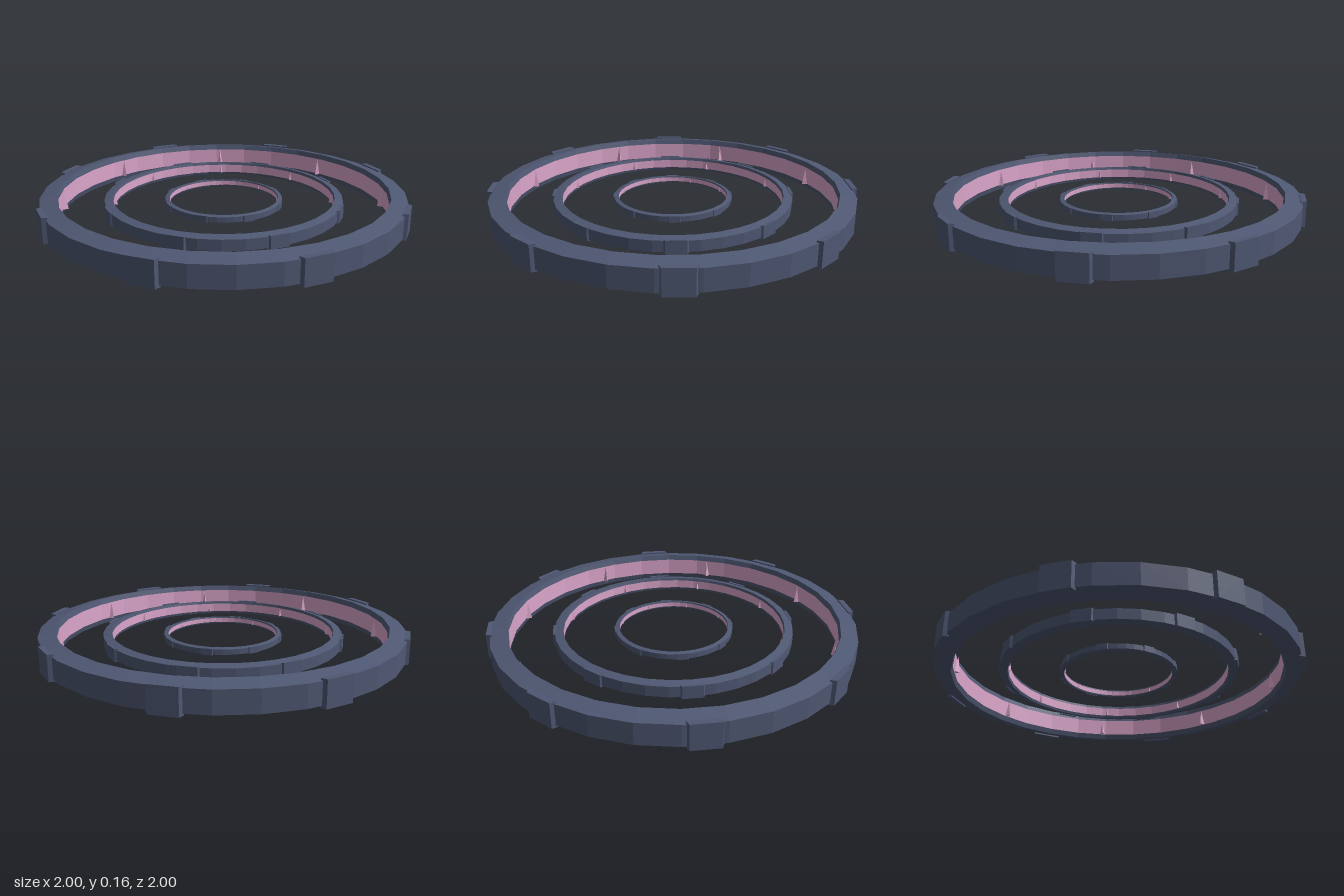
import * as THREE from 'three';

const slate = new THREE.MeshStandardMaterial({ color: 0x4f5873, flatShading: true });
slate.name = 'slate';
const pink = new THREE.MeshStandardMaterial({ color: 0xdca6cb, flatShading: true });
pink.name = 'pink';

const MID = 0.0775; // height of the shared centre plane

function add(parent, name, geometry, material) {
  const mesh = new THREE.Mesh(geometry, material);
  mesh.name = name;
  parent.add(mesh);
  return mesh;
}

// Revolves [radius, height] points into a faceted band
function lathe(points, sides) {
  return new THREE.LatheGeometry(points.map(([r, y]) => new THREE.Vector2(r, y)), sides);
}

// Tab whose outer face is a little narrower than its root
function tabGeometry(width, height, depth) {
  const g = new THREE.BoxGeometry(width, height, depth);
  const p = g.attributes.position;
  for (let i = 0; i < p.count; i++) {
    if (p.getZ(i) > 0) p.setX(i, p.getX(i) * 0.86);
  }
  g.computeVertexNormals();
  return g;
}

// s scales the cross-section, outer is the outer radius
function ring(name, outer, s, sides, tabWidth) {
  const group = new THREE.Group();
  group.name = name;
  group.position.y = MID;
  const inner = outer - 0.097 * s;
  const peak = outer - 0.089 * s;
  const h = 0.0775 * s, edge = 0.0575 * s, band = 0.048 * s;

  // Shell: lower lip, sloped underside, outer wall, sloped top, upper lip
  add(group, 'shell', lathe([
    [inner, -band], [peak, -h], [outer, -edge], [outer, edge], [peak, h], [inner, band],
  ], sides), slate);
  // Coloured inner wall
  add(group, 'innerBand', lathe([[inner, band], [inner, -band]], sides), pink);

  // Eight tabs outside, eight spikes inside halfway between them
  const depth = 0.03 * s;
  const tab = tabGeometry(tabWidth, 0.137 * s, depth);
  const spike = new THREE.ConeGeometry(0.017 * s, 0.096 * s, 3);
  for (let i = 0; i < 8; i++) {
    const a = i * Math.PI / 4;
    const t = add(group, 'tab', tab, slate);
    const r = outer + 0.013 * s - depth / 2;
    t.position.set(Math.sin(a) * r, 0, Math.cos(a) * r);
    t.rotation.y = a;

    const b = a + Math.PI / 8;
    const c = add(group, 'spike', spike, pink);
    const q = inner - 0.016 * s;
    c.position.set(Math.sin(b) * q, 0, Math.cos(b) * q);
    c.rotation.y = b + Math.PI;
  }
  return group;
}

export function createModel() {
  const model = new THREE.Group();
  model.name = 'concentricRings';
  model.add(ring('outerRing', 0.987, 1, 30, 0.17));
  model.add(ring('middleRing', 0.65, 0.5, 36, 0.12));
  model.add(ring('innerRing', 0.322, 0.25, 48, 0.07));
  return model;
}
